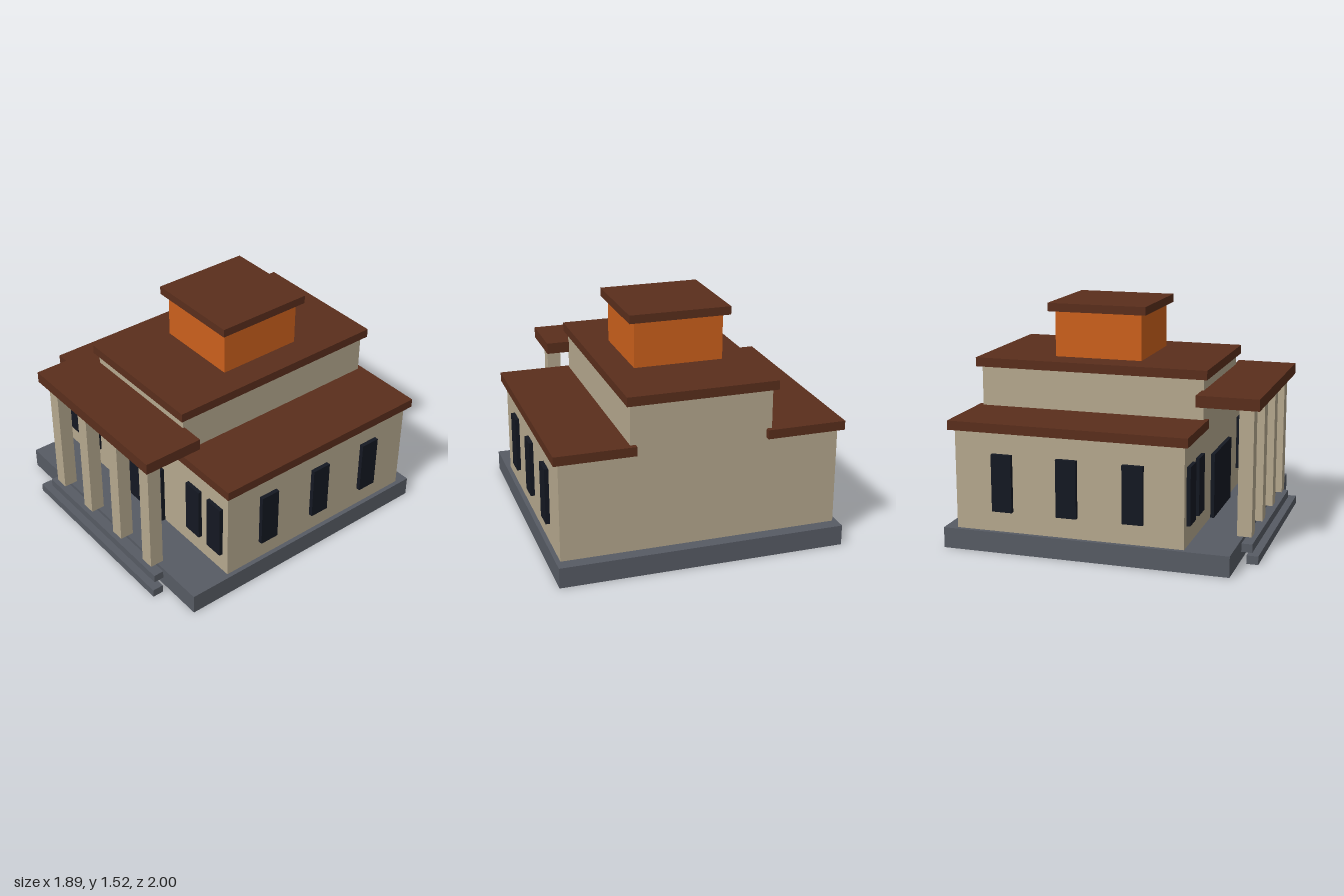
import * as THREE from 'three';

const mat = (color) => new THREE.MeshStandardMaterial({ color, flatShading: true });

export function createModel() {
  const model = new THREE.Group();
  const stone = mat(0xb5a88e);
  const roof = mat(0x5a2e1c);
  const orange = mat(0xcc601c);
  const slate = mat(0x575b64);
  const glass = mat(0x141822);

  // Box given by its extents along each axis
  const box = (name, material, [x0, x1], [y0, y1], [z0, z1]) => {
    const mesh = new THREE.Mesh(new THREE.BoxGeometry(x1 - x0, y1 - y0, z1 - z0), material);
    mesh.position.set((x0 + x1) / 2, (y0 + y1) / 2, (z0 + z1) / 2);
    mesh.name = name;
    model.add(mesh);
  };
  // The same box on both sides of the building
  const pair = (name, material, [x0, x1], y, z) => {
    box(name + 'Left', material, [x0, x1], y, z);
    box(name + 'Right', material, [-x1, -x0], y, z);
  };

  // Plinth and front steps
  box('plinth', slate, [-0.94, 0.94], [0, 0.135], [-1, 0.88]);
  box('lowerStep', slate, [-0.67, 0.67], [0, 0.055], [0.925, 1]);
  box('upperStep', slate, [-0.615, 0.615], [0.055, 0.11], [0.88, 0.95]);

  // Walls: tall hall with a lower wing on each side
  const outline = new THREE.Shape([
    [-0.91, 0.135], [0.91, 0.135], [0.91, 0.785], [0.46, 0.785],
    [0.46, 1.107], [-0.46, 1.107], [-0.46, 0.785], [-0.91, 0.785],
  ].map(([x, y]) => new THREE.Vector2(x, y)));
  const walls = new THREE.Mesh(
    new THREE.ExtrudeGeometry(outline, { depth: 1.503, bevelEnabled: false }), stone);
  walls.position.z = -0.915;
  walls.name = 'walls';
  model.add(walls);

  // Flat overhanging roofs
  pair('wingRoof', roof, [0.425, 0.945], [0.785, 0.845], [-0.95, 0.615]);
  box('hallRoof', roof, [-0.487, 0.487], [1.107, 1.167], [-0.95, 0.615]);

  // Roof tower
  box('tower', orange, [-0.295, 0.295], [1.167, 1.47], [-0.46, 0.13]);
  box('towerRoof', roof, [-0.335, 0.335], [1.47, 1.525], [-0.5, 0.168]);

  // Portico
  box('porticoRoof', roof, [-0.615, 0.615], [0.96, 1.035], [0.575, 0.977]);
  for (const x of [0.125, 0.462]) {
    pair('column', stone, [x, x + 0.094], [0.135, 0.96], [0.838, 0.932]);
  }

  // Door and windows
  box('door', glass, [-0.242, 0.242], [0.135, 0.567], [0.58, 0.613]);
  for (const x of [0.51, 0.725]) {
    pair('frontWindow', glass, [x, x + 0.135], [0.272, 0.645], [0.58, 0.613]);
  }
  for (const z of [0.265, -0.165, -0.595]) {
    pair('sideWindow', glass, [0.9, 0.938], [0.272, 0.645], [z - 0.067, z + 0.067]);
  }
  return model;
}
